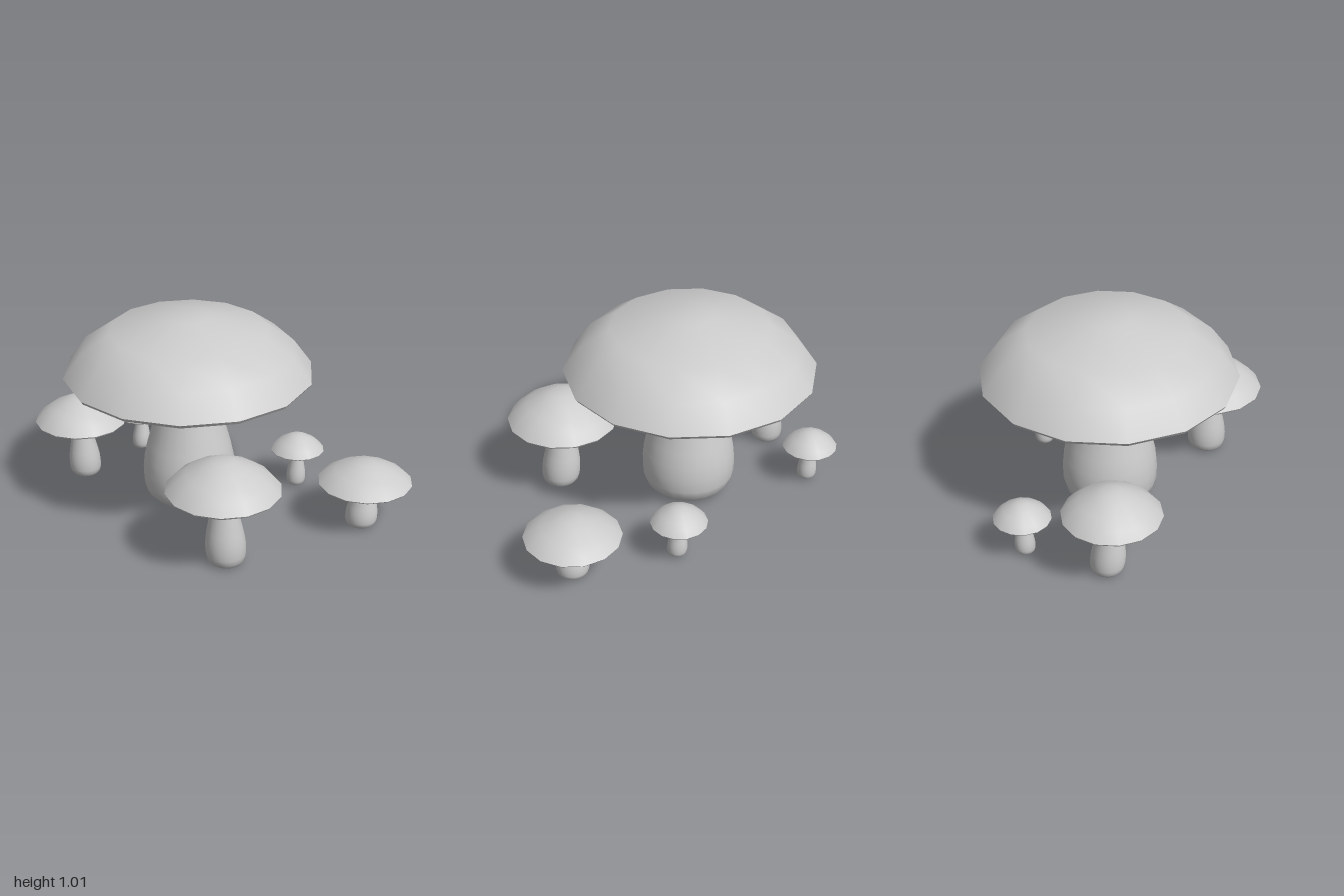
import * as THREE from 'three';
import { mergeGeometries } from 'three/addons/utils/BufferGeometryUtils.js';

const material = new THREE.MeshStandardMaterial({ color: 0xcccccc });

// Profiles as [radius, height] fractions, ordered so faces point outward
const UNDERSIDE = [[0, 1], [0.2, 0.97], [0.5, 0.7], [0.74, 0.3], [0.88, 0]];
const LIP = [[0.88, 0], [0.98, -0.03]];
const EDGE = [[0.98, -0.03], [1, 0.03]];
const FULL_DOME = [[1, 0.03], [0.855, 0.44], [0.63, 0.77], [0.18, 1], [0, 1]];
const LOW_DOME = [[1, 0.03], [0.85, 0.34], [0.65, 0.6], [0.42, 0.82], [0.19, 1], [0, 1]];
const STEM = [
  [0, 0], [0.55, 0], [0.78, 0.02], [0.93, 0.07], [0.99, 0.14], [1, 0.24], [0.97, 0.34],
  [0.9, 0.45], [0.78, 0.6], [0.67, 0.76], [0.58, 0.9], [0.53, 1], [0.45, 1.13], [0.36, 1.21], [0.2, 1.26], [0, 1.28],
];

function lathe(profile, radius, height, sides) {
  const points = profile.map(([r, y]) => new THREE.Vector2(r * radius, y * height));
  return new THREE.LatheGeometry(points, sides, Math.PI / 2);
}

// One mushroom: cap centre, cap radius, rim and top heights, dome profile and hollow depth;
// stem centre, radius and foot height
function mushroom({ name, cap, r, rim, top, dome = LOW_DOME, hollow = 0.45, stem, stemR, foot }) {
  const group = new THREE.Group();
  group.name = name;

  // Hollow cap, kept as separate bands so the rim stays sharp
  const h = top - rim;
  const bands = [LIP, EDGE, dome].map((p) => lathe(p, r, h, 14));
  bands.push(lathe(UNDERSIDE, r, h * hollow, 14));
  const capMesh = new THREE.Mesh(mergeGeometries(bands), material);
  capMesh.name = 'cap';
  capMesh.position.set(cap[0], rim, cap[1]);

  // Bulbous stem, leaning slightly so that it meets the cap centre
  const geometry = lathe(STEM, stemR, rim - foot, 24);
  const pos = geometry.attributes.position;
  for (let i = 0; i < pos.count; i++) {
    const t = pos.getY(i) / (rim - foot);
    pos.setX(i, pos.getX(i) + (cap[0] - stem[0]) * t);
    pos.setZ(i, pos.getZ(i) + (cap[1] - stem[1]) * t);
  }
  const stemMesh = new THREE.Mesh(geometry, material);
  stemMesh.name = 'stem';
  stemMesh.position.set(stem[0], foot, stem[1]);

  group.add(capMesh, stemMesh);
  return group;
}

const MUSHROOMS = [
  { name: 'largeMushroom', cap: [-0.15, -0.107], r: 0.625, rim: 0.708, top: 1.01, dome: FULL_DOME, hollow: 0.62, stem: [-0.15, -0.105], stemR: 0.235, foot: 0.017 },
  { name: 'frontMushroom', cap: [0.18, 0.442], r: 0.279, rim: 0.381, top: 0.535, stem: [0.2, 0.457], stemR: 0.098, foot: 0 },
  { name: 'rightMushroom', cap: [-0.763, -0.18], r: 0.237, rim: 0.331, top: 0.463, stem: [-0.757, -0.205], stemR: 0.083, foot: 0.005 },
  { name: 'leftMushroom', cap: [0.765, -0.08], r: 0.234, rim: 0.24, top: 0.343, stem: [0.755, -0.063], stemR: 0.08, foot: 0.007 },
  { name: 'backRightMushroom', cap: [-0.563, -0.577], r: 0.139, rim: 0.205, top: 0.29, stem: [-0.565, -0.567], stemR: 0.049, foot: 0.01 },
  { name: 'backLeftMushroom', cap: [0.352, -0.397], r: 0.139, rim: 0.205, top: 0.29, stem: [0.35, -0.385], stemR: 0.049, foot: 0.01 },
];

export function createModel() {
  const model = new THREE.Group();
  model.name = 'mushroomCluster';
  for (const spec of MUSHROOMS) model.add(mushroom(spec));
  return model;
}
